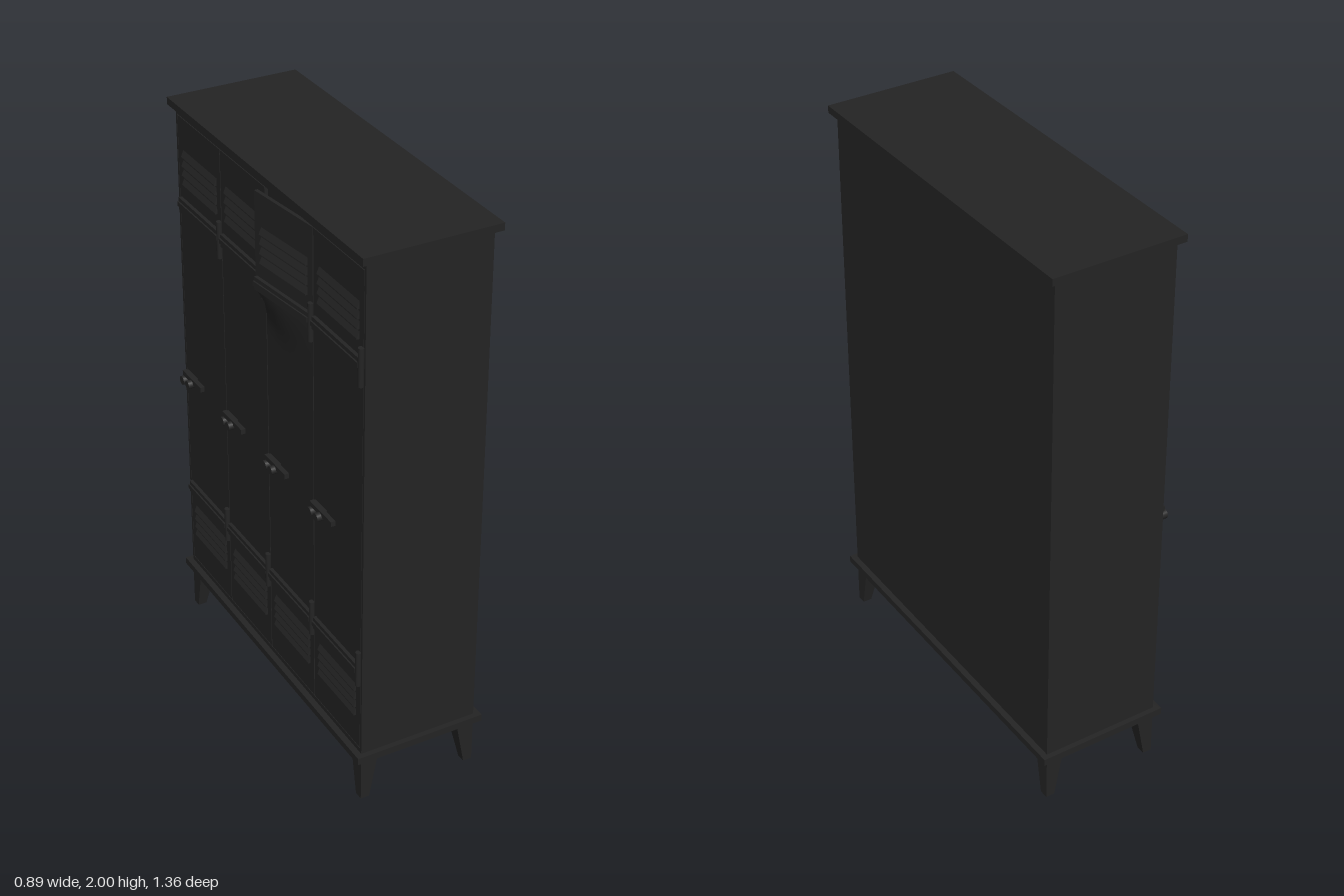
import * as THREE from 'three';

const metal = new THREE.MeshStandardMaterial({ color: 0x242424 });
metal.name = 'charcoal metal';

const FRONT = 0.2125;   // plane of the door fronts
const PITCH = 0.306;    // width of one door bay
const MID = 1.08;       // height about which the door fittings mirror

function add(parent, name, geometry) {
  const mesh = new THREE.Mesh(geometry, metal);
  mesh.name = name;
  parent.add(mesh);
  return mesh;
}

// Box given by its lower and upper limits
function slab(x0, x1, y0, y1, z0, z1, sx = 1, sy = 1) {
  return new THREE.BoxGeometry(x1 - x0, y1 - y0, z1 - z0, sx, sy, 1)
    .translate((x0 + x1) / 2, (y0 + y1) / 2, (z0 + z1) / 2);
}

// Sloping louvre: flush at its top edge, standing out at its lower edge
function louvre(x0, x1, y0, y1, out) {
  const p = new THREE.Shape();
  p.moveTo(0, y0);
  p.lineTo(out, y0);
  p.lineTo(out, y0 + 0.004);
  p.lineTo(0, y1);
  p.closePath();
  return new THREE.ExtrudeGeometry(p, { depth: x1 - x0, bevelEnabled: false })
    .rotateY(-Math.PI / 2).translate(x1, 0, FRONT);
}

// Pulls the free upper corner of a door outwards
function bend(geometry, left) {
  const p = geometry.attributes.position;
  for (let i = 0; i < p.count; i++) {
    const u = THREE.MathUtils.clamp((p.getX(i) - left) / PITCH, 0, 1);
    const start = 1.43 + 0.1 * (2 * u - 1) ** 2;
    const lift = THREE.MathUtils.smoothstep(p.getY(i), start, 1.62);
    p.setZ(i, p.getZ(i) + 0.037 * (1 - u) * lift);
  }
  geometry.computeVertexNormals();
  return geometry;
}

function buildDoor(left, bent) {
  const door = new THREE.Group();
  const part = (name, g) => add(door, name, bent ? bend(g, left) : g);

  part('doorPanel', slab(left + 0.002, left + PITCH - 0.002, 0.21, 1.945, 0.2, FRONT, 8, 40));

  for (const top of [true, false]) {
    const place = (y, h) => (top ? y : 2 * MID - y - h);
    // Vent louvres
    for (let i = 0; i < 4; i++) {
      const y = place(1.71 + i * 0.033, 0.026);
      part('ventLouvre', louvre(left + 0.037, left + 0.278, y, y + 0.026, 0.009));
    }
    // Hinge strap and barrel
    const sy = place(1.615, 0.044);
    part('hingeStrap', slab(left + 0.012, left + 0.298, sy, sy + 0.044, FRONT, FRONT + 0.012, 6));
    part('hingeStrapRib', slab(left + 0.012, left + 0.298, sy + 0.014, sy + 0.03, FRONT, FRONT + 0.017, 6));
    const barrel = new THREE.CylinderGeometry(0.01, 0.01, 0.13, 12)
      .translate(left + 0.301, place(1.565, 0.13) + 0.065, FRONT + 0.006);
    add(door, 'hingeBarrel', barrel);
  }

  // Lever handle with two round bosses
  const boss = (x, y, r, depth) => add(door, 'handleBoss',
    new THREE.CylinderGeometry(r, r, depth, 16).rotateX(Math.PI / 2)
      .translate(left + x, y, FRONT + depth / 2));
  boss(0.02, 0.968, 0.016, 0.03);
  boss(0.078, 0.982, 0.015, 0.038);
  add(door, 'handleLever', slab(left + 0.012, left + 0.15, 0.985, 1.003, FRONT + 0.006, FRONT + 0.022));
  add(door, 'handlePlate', slab(left + 0.012, left + 0.085, 0.965, 1.0, FRONT, FRONT + 0.008));
  return door;
}

// Tapered leg whose two outer faces stay upright
function buildLeg(sx, sz) {
  const g = slab(-0.0315, 0.0315, 0, 0.165, -0.0315, 0.0315).toNonIndexed();
  const p = g.attributes.position;
  for (let i = 0; i < p.count; i++) {
    if (p.getY(i) < 0.01) {
      if (p.getX(i) * sx < 0) p.setX(i, 0);
      if (p.getZ(i) * sz < 0) p.setZ(i, 0);
    }
  }
  g.computeVertexNormals();
  return g.translate(sx * 0.59, 0, sz * 0.181);
}

export function createModel() {
  const model = new THREE.Group();
  model.name = 'lockerModel';
  const locker = new THREE.Group();
  locker.name = 'locker';
  locker.rotation.y = THREE.MathUtils.degToRad(-110.5);
  model.add(locker);

  // Cabinet shell, with a lip around the doors
  add(locker, 'cabinet', slab(-0.6215, 0.6215, 0.18, 1.98, -FRONT, 0.2));
  for (const s of [-1, 1]) {
    add(locker, 'sideLip', slab(s * 0.617 - 0.0045, s * 0.617 + 0.0045, 0.18, 1.98, 0.2, FRONT));
  }
  add(locker, 'topLip', slab(-0.6125, 0.6125, 1.948, 1.98, 0.2, FRONT));
  add(locker, 'bottomLip', slab(-0.6125, 0.6125, 0.18, 0.207, 0.2, FRONT));

  // Overhanging top and base boards
  add(locker, 'topBoard', slab(-0.64, 0.64, 1.975, 2, -0.234, 0.234));
  add(locker, 'baseBoard', slab(-0.64, 0.64, 0.165, 0.19, -0.234, 0.234));

  for (const sx of [-1, 1]) {
    for (const sz of [-1, 1]) add(locker, 'leg', buildLeg(sx, sz));
  }

  // Four doors, the third with a bent corner
  for (let i = 0; i < 4; i++) {
    const door = buildDoor(-0.612 + i * PITCH, i === 2);
    door.name = i === 2 ? 'bentDoor' : 'door';
    locker.add(door);
  }
  return model;
}
